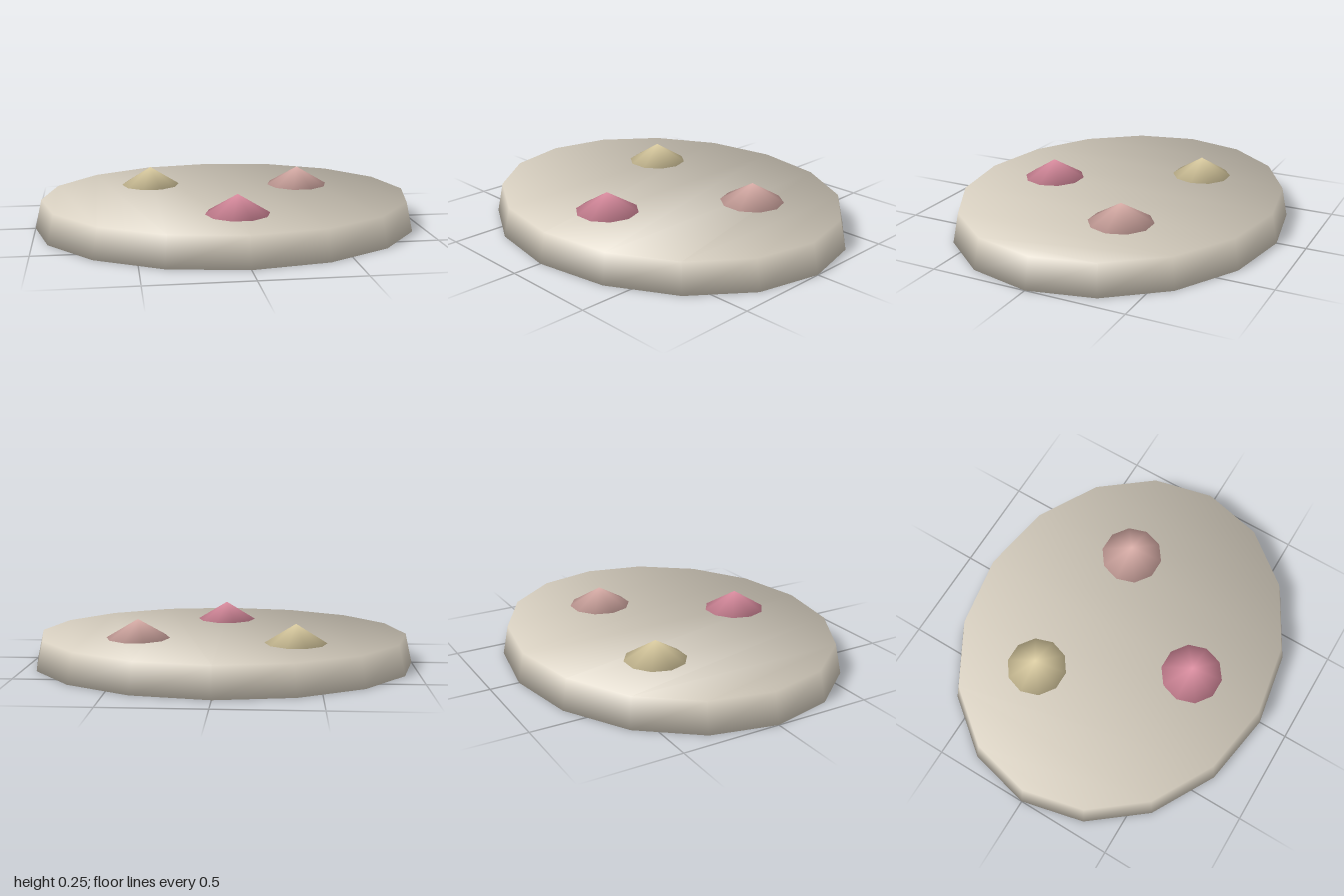
import * as THREE from 'three';

const SIDES = 16;

// Builds a solid from indices, with soft normals that run across the rim
function softSolid(positions, normals, indices) {
  const g = new THREE.BufferGeometry();
  g.setAttribute('position', new THREE.Float32BufferAttribute(positions, 3));
  g.setAttribute('normal', new THREE.Float32BufferAttribute(normals, 3));
  g.setIndex(indices);
  return g;
}

// Oval slab: a wide lower ring and a slightly narrower upper ring
function slabGeometry() {
  const p = [], n = [], idx = [];
  const rings = [[1, 0.85, 0.004, -1], [0.965, 0.82, 0.157, 1]];
  for (const [rx, rz, y, up] of rings) {
    for (let i = 0; i < SIDES; i++) {
      const a = (i / SIDES) * Math.PI * 2;
      const v = new THREE.Vector3(Math.cos(a), up, Math.sin(a)).normalize();
      p.push(rx * Math.cos(a), y, rz * Math.sin(a));
      n.push(v.x, v.y, v.z);
    }
  }
  for (let i = 0; i < SIDES; i++) {
    const j = (i + 1) % SIDES;
    idx.push(i, i + SIDES, j, j, i + SIDES, j + SIDES);
  }
  // Caps, laid as strips between the two halves of each ring
  const cap = (a, b, c) => {
    idx.push(a, b, c);
    idx.push(a + SIDES, c + SIDES, b + SIDES);
  };
  for (let k = 0; k < SIDES / 2; k++) {
    const a = k, b = k + 1, c = (SIDES - k - 1) % SIDES, d = (SIDES - k) % SIDES;
    if (b !== c) cap(a, b, c);
    if (k > 0 && a !== c) cap(a, c, d);
  }
  return softSolid(p, n, idx);
}

// Low ten-sided cone with a closed base
function toppingGeometry(radius, height) {
  const sides = 10;
  const p = [0, height, 0], n = [0, 1, 0], idx = [];
  for (let i = 0; i < sides; i++) {
    const a = (i / sides) * Math.PI * 2;
    p.push(radius * Math.cos(a), 0, radius * Math.sin(a));
    n.push(0.98 * Math.cos(a), -0.18, 0.98 * Math.sin(a));
  }
  for (let i = 0; i < sides; i++) {
    idx.push(0, 1 + ((i + 1) % sides), 1 + i);
    if (i > 0 && i < sides - 1) idx.push(1, 1 + i, 2 + i);
  }
  return softSolid(p, n, idx);
}

function material(name, color) {
  const m = new THREE.MeshStandardMaterial({ color });
  m.name = name;
  return m;
}

export function createModel() {
  const model = new THREE.Group();
  model.name = 'ovalPlate';

  const slab = new THREE.Mesh(slabGeometry(), material('warm stone', 0xd6cebf));
  slab.name = 'slab';
  model.add(slab);

  // Three cones on the slab: name, colour name, colour, x, z, radius
  const toppings = [
    ['creamCone', 'cream', 0xdfd0a4, -0.383, -0.29, 0.157],
    ['roseCone', 'rose', 0xde8fa2, 0, 0.423, 0.161],
    ['blushCone', 'blush', 0xdcb0aa, 0.423, -0.193, 0.164],
  ];
  for (const [name, colourName, colour, x, z, r] of toppings) {
    const cone = new THREE.Mesh(toppingGeometry(r, 0.097), material(colourName, colour));
    cone.name = name;
    cone.position.set(x, 0.158, z);
    model.add(cone);
  }
  return model;
}
